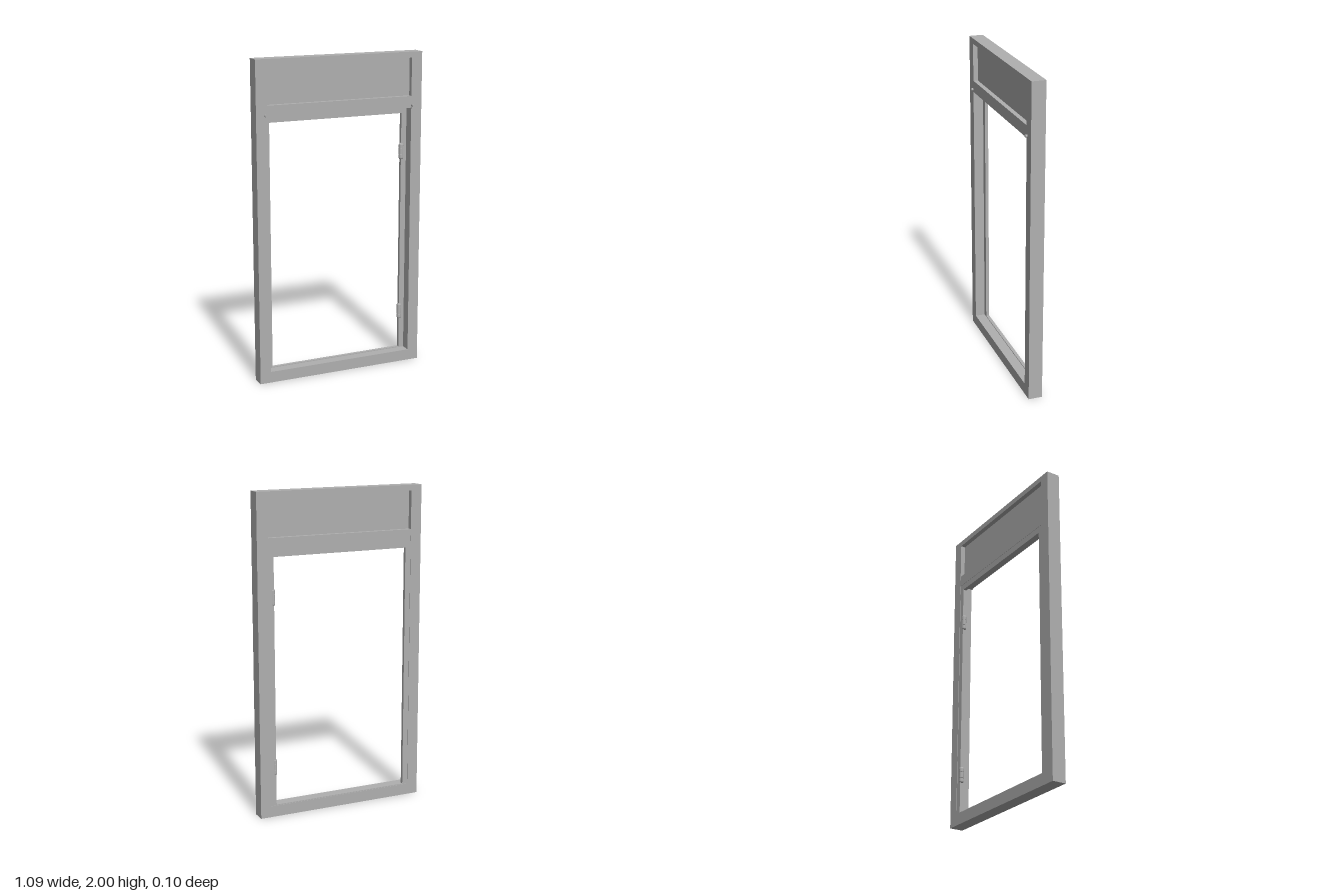
import * as THREE from 'three';

export function createModel() {
  const model = new THREE.Group();
  const grey = new THREE.MeshStandardMaterial({ color: 0xb0b0b0 });
  grey.name = 'plain grey';

  const add = (name, geometry, parent = model) => {
    const mesh = new THREE.Mesh(geometry, grey);
    mesh.name = name;
    parent.add(mesh);
    return mesh;
  };

  // Box given by its extents on each axis
  const block = (name, [x0, x1], [y0, y1], [z0, z1]) =>
    add(name, new THREE.BoxGeometry(x1 - x0, y1 - y0, z1 - z0))
      .position.set((x0 + x1) / 2, (y0 + y1) / 2, (z0 + z1) / 2);

  // Rectangular outline, counter-clockwise
  const rect = (Type, x, y0, y1) => {
    const path = new Type();
    path.moveTo(-x, y0).lineTo(x, y0).lineTo(x, y1).lineTo(-x, y1).closePath();
    return path;
  };

  // Extruded plate with one rectangular hole
  const ring = (name, outer, inner, z0, z1) => {
    const shape = rect(THREE.Shape, ...outer);
    shape.holes.push(rect(THREE.Path, ...inner));
    const geometry = new THREE.ExtrudeGeometry(shape, { depth: z1 - z0, bevelEnabled: false });
    geometry.translate(0, 0, z0);
    add(name, geometry);
  };

  // Outer frame, and the thin door stop set near its back
  ring('outerFrame', [0.545, 0, 2], [0.475, 0.07, 1.965], -0.05, 0.037);
  ring('doorStop', [0.475, 0.07, 1.66], [0.44, 0.075, 1.615], -0.047, -0.026);

  // Crossbar and the recessed panel above it
  block('crossbar', [-0.475, 0.475], [1.655, 1.728], [-0.049, 0.036]);
  block('upperPanel', [-0.475, 0.475], [1.728, 1.965], [-0.02, 0.007]);

  // Pegs on the front, one on each side of the crossbar
  for (const side of [-1, 1]) {
    const peg = add('peg', new THREE.CylinderGeometry(0.008, 0.008, 0.014, 20));
    peg.rotation.x = Math.PI / 2;
    peg.position.set(side * 0.485, 1.67, 0.043);
  }

  // Hinges: three knuckles with rounded caps at both ends
  for (const y of [0.318, 1.373]) {
    const hinge = new THREE.Group();
    hinge.name = 'hinge';
    hinge.position.set(0.445, y, -0.0355);
    for (const i of [-1, 0, 1]) {
      const knuckle = add('knuckle', new THREE.CylinderGeometry(0.0145, 0.0145, i ? 0.018 : 0.04, 24), hinge);
      knuckle.position.y = i * 0.0305;
      if (!i) continue;
      const cap = add('hingeCap', new THREE.SphereGeometry(0.0145, 24, 8, 0, Math.PI * 2, 0, Math.PI / 2), hinge);
      cap.position.y = i * 0.0395;
      if (i < 0) cap.rotation.x = Math.PI;
    }
    model.add(hinge);
  }

  return model;
}
